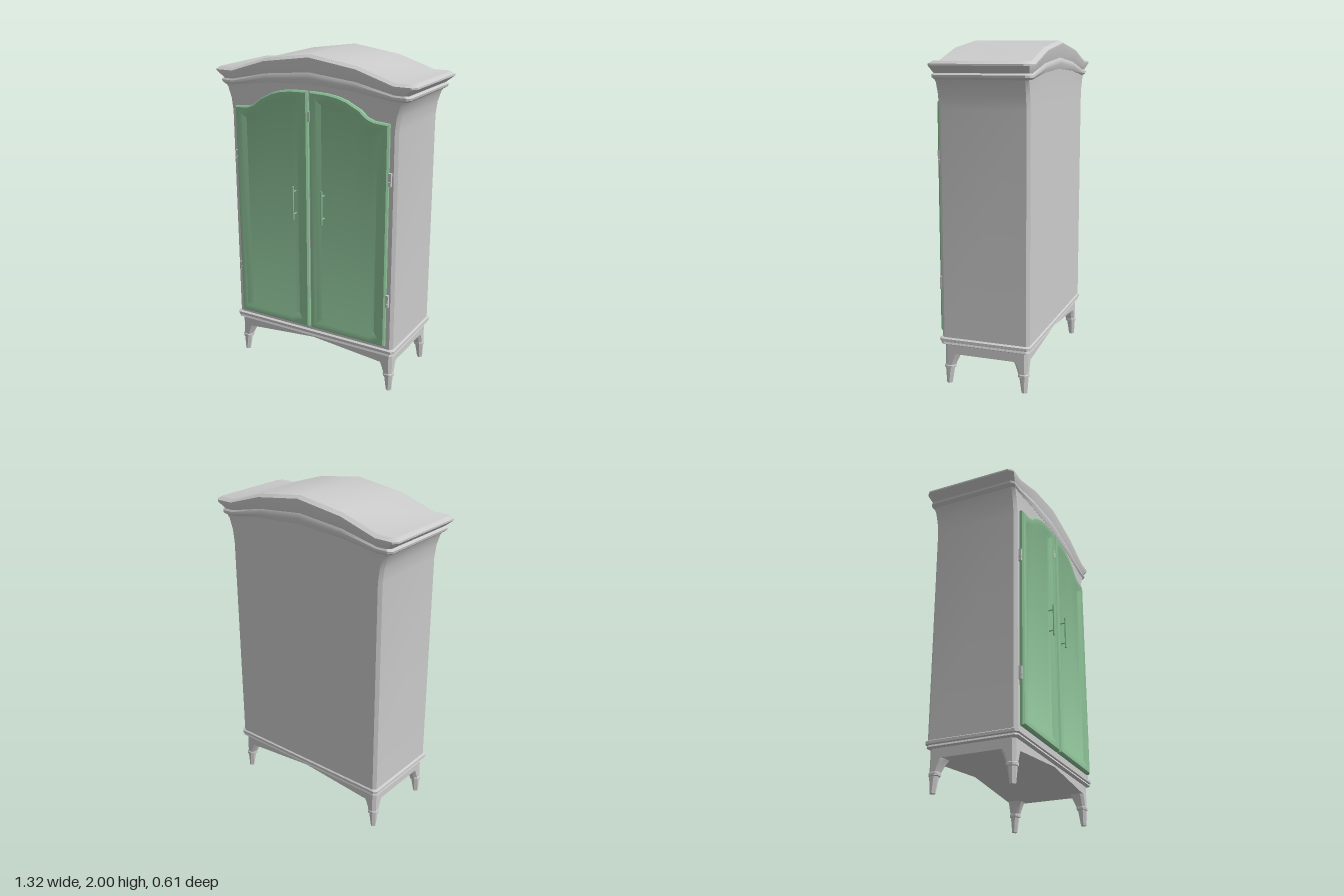
import * as THREE from 'three';
import { toCreasedNormals } from 'three/addons/utils/BufferGeometryUtils.js';

const grey = new THREE.MeshStandardMaterial({ color: 0xcccccc });
const green = new THREE.MeshStandardMaterial({ color: 0x8cc096 });

// Skins a stack of matching rings; ends are closed by strips pairing point i with n-1-i.
function loft(rings) {
  const n = rings[0].length;
  const pos = [];
  const quad = (a, b, c, d) => [a, b, c, a, c, d].forEach(p => pos.push(...p));
  for (let k = 0; k < rings.length - 1; k++) {
    for (let i = 0; i < n; i++) {
      const j = (i + 1) % n;
      quad(rings[k][i], rings[k][j], rings[k + 1][j], rings[k + 1][i]);
    }
  }
  const first = rings[0], last = rings[rings.length - 1];
  for (let i = 0; i < n / 2 - 1; i++) {
    quad(last[i], last[i + 1], last[n - 2 - i], last[n - 1 - i]);
    quad(first[n - 1 - i], first[n - 2 - i], first[i + 1], first[i]);
  }
  const g = new THREE.BufferGeometry();
  g.setAttribute('position', new THREE.Float32BufferAttribute(pos, 3));
  return toCreasedNormals(g, 0.5);
}

// Horizontal rectangle with cut corners; height is a function of x.
function ring(x0, x1, zFront, zBack, cut, heightAt, midXs = []) {
  const xs = [x0, x0 + cut, ...midXs, x1 - cut, x1];
  const end = i => (i === 0 || i === xs.length - 1 ? cut : 0);
  const front = xs.map((x, i) => [x, heightAt(x), zFront - end(i)]);
  const back = xs.map((x, i) => [x, heightAt(x), zBack + end(i)]).reverse();
  return [...front, ...back];
}

// Arch profile: flat ends, rising in straight segments to the middle
const ARCH_XS = [-0.53, -0.3, 0, 0.3, 0.53];
const arch = (edge, rise) => x => {
  const a = Math.abs(x);
  if (a >= 0.53) return edge;
  return edge + rise * (a > 0.3 ? 0.63 * (0.53 - a) / 0.23 : 0.63 + 0.37 * (0.3 - a) / 0.3);
};
const slab = (hx, zf, zb, cut, edge, rise = 0) =>
  ring(-hx, hx, zf, zb, cut, arch(edge, rise), ARCH_XS);

// Moves each side of a counter-clockwise outline inward by d
function inset(points, d) {
  const n = points.length;
  return points.map((p, i) => {
    const a = points[(i + n - 1) % n], b = points[(i + 1) % n];
    const u = new THREE.Vector2(p[0] - a[0], p[1] - a[1]).normalize();
    const v = new THREE.Vector2(b[0] - p[0], b[1] - p[1]).normalize();
    const k = d / (1 + u.dot(v));
    return [p[0] - (u.y + v.y) * k, p[1] + (u.x + v.x) * k];
  });
}

export function createModel() {
  const model = new THREE.Group();
  const add = (name, geometry, material = grey, parent = model) => {
    const m = new THREE.Mesh(geometry, material);
    m.name = name;
    parent.add(m);
    return m;
  };
  const box = (name, w, h, d, x, y, z, material, parent) =>
    add(name, new THREE.BoxGeometry(w, h, d), material, parent).position.set(x, y, z);

  // Cabinet body, flaring sideways under the cornice
  add('body', loft([
    slab(0.555, 0.258, -0.28, 0.018, 0.28),
    slab(0.555, 0.258, -0.28, 0.018, 1.62),
    slab(0.565, 0.258, -0.28, 0.018, 1.70, 0.02),
    slab(0.585, 0.26, -0.282, 0.018, 1.765, 0.06),
    slab(0.61, 0.263, -0.285, 0.018, 1.80, 0.08),
  ]));

  // Arched cornice with a stepped moulding below
  add('cornice', loft([
    slab(0.605, 0.262, -0.285, 0.02, 1.785, 0.05),
    slab(0.622, 0.27, -0.295, 0.02, 1.797, 0.07),
    slab(0.625, 0.27, -0.295, 0.02, 1.81, 0.075),
    slab(0.61, 0.264, -0.288, 0.02, 1.82, 0.08),
    slab(0.66, 0.277, -0.305, 0.025, 1.86, 0.115),
    slab(0.66, 0.277, -0.305, 0.025, 1.87, 0.115),
    slab(0.64, 0.255, -0.28, 0.025, 1.885, 0.115),
  ]));

  // Moulding around the foot of the body
  add('baseMoulding', loft([
    slab(0.55, 0.25, -0.27, 0.018, 0.243),
    slab(0.562, 0.267, -0.283, 0.018, 0.25),
    slab(0.557, 0.262, -0.279, 0.018, 0.262),
    slab(0.567, 0.271, -0.288, 0.018, 0.267),
    slab(0.567, 0.271, -0.288, 0.018, 0.283),
    slab(0.555, 0.258, -0.28, 0.018, 0.29),
  ]));

  // Apron with a shallow peaked underside
  const peak = x => 0.187 + 0.043 * Math.max(0, 1 - Math.abs(x) / 0.46);
  add('apron', loft([peak, () => 0.248].map(f =>
    ring(-0.545, 0.545, 0.245, -0.265, 0.022, f, [-0.46, 0, 0.46]))));

  // Tapered legs: [height, width, outward bulge]
  const legSteps = [[0, 0.038, -0.004], [0.092, 0.05, 0], [0.095, 0.056, 0.004],
    [0.11, 0.058, 0.004], [0.115, 0.057, 0], [0.165, 0.076, 0], [0.19, 0.09, 0], [0.24, 0.09, 0]];
  for (const sx of [-1, 1]) for (const sz of [-1, 1]) {
    const span = (s, outer, w, bulge) => {
      const a = s * (outer + bulge), b = s * (outer - w);
      return [Math.min(a, b), Math.max(a, b)];
    };
    add((sz > 0 ? 'front' : 'back') + (sx > 0 ? 'Left' : 'Right') + 'Leg',
      loft(legSteps.map(([y, w, bulge]) => {
        const [x0, x1] = span(sx, 0.545, w, bulge);
        const [zb, zf] = span(sz, 0.255, w, bulge);
        return ring(x0, x1, zf - 0.01, zb - 0.01, 0.012 + w * 0.06, () => y);
      })));
  }

  // Door outline, top edge from the centre line to the hinge side
  const top = [[0.007, 1.797], [0.12, 1.793], [0.19, 1.783], [0.25, 1.765],
    [0.33, 1.725], [0.38, 1.685], [0.42, 1.67], [0.512, 1.663]];
  for (const s of [-1, 1]) {
    const side = s > 0 ? 'left' : 'right';
    const door = new THREE.Group();
    door.name = side + 'Door';
    model.add(door);
    const upper = top.map(([x, y]) => [s * x, y]);
    if (s > 0) upper.reverse();
    const lower = upper.map(([x]) => [x, 0.315]).reverse();
    const outline = [...lower, ...upper];
    // Rounded edge, flat frame, then a bevel down to the sunken panel
    const steps = [[0, 0.25], [0, 0.274], [0.009, 0.283], [0.043, 0.283], [0.073, 0.268]];
    add(side + 'DoorPanel', loft(steps.map(([d, z]) =>
      inset(outline, d).map(([x, y]) => [x, y, z]))), green, door);

    // Pull handle on two posts
    const bar = add(side + 'HandleBar', new THREE.CylinderGeometry(0.006, 0.006, 0.205, 8), green, door);
    bar.position.set(s * 0.098, 1.12, 0.3);
    for (const y of [1.05, 1.19]) {
      const post = add(side + 'HandlePost', new THREE.CylinderGeometry(0.004, 0.005, 0.034, 8), green, door);
      post.rotation.x = Math.PI / 2;
      post.position.set(s * 0.098, y, 0.283);
    }

    // Hinges: two knuckles each
    for (const y of [0.608, 1.348]) for (const [dy, h] of [[0.014, 0.05], [-0.025, 0.024]]) {
      box(side + 'Hinge', 0.017, h, 0.03, s * 0.52, y + dy, 0.26, grey, model);
    }
  }

  // Catch between the doors
  box('doorCatch', 0.012, 0.06, 0.024, 0, 1.65, 0.268, grey, model);
  return model;
}
